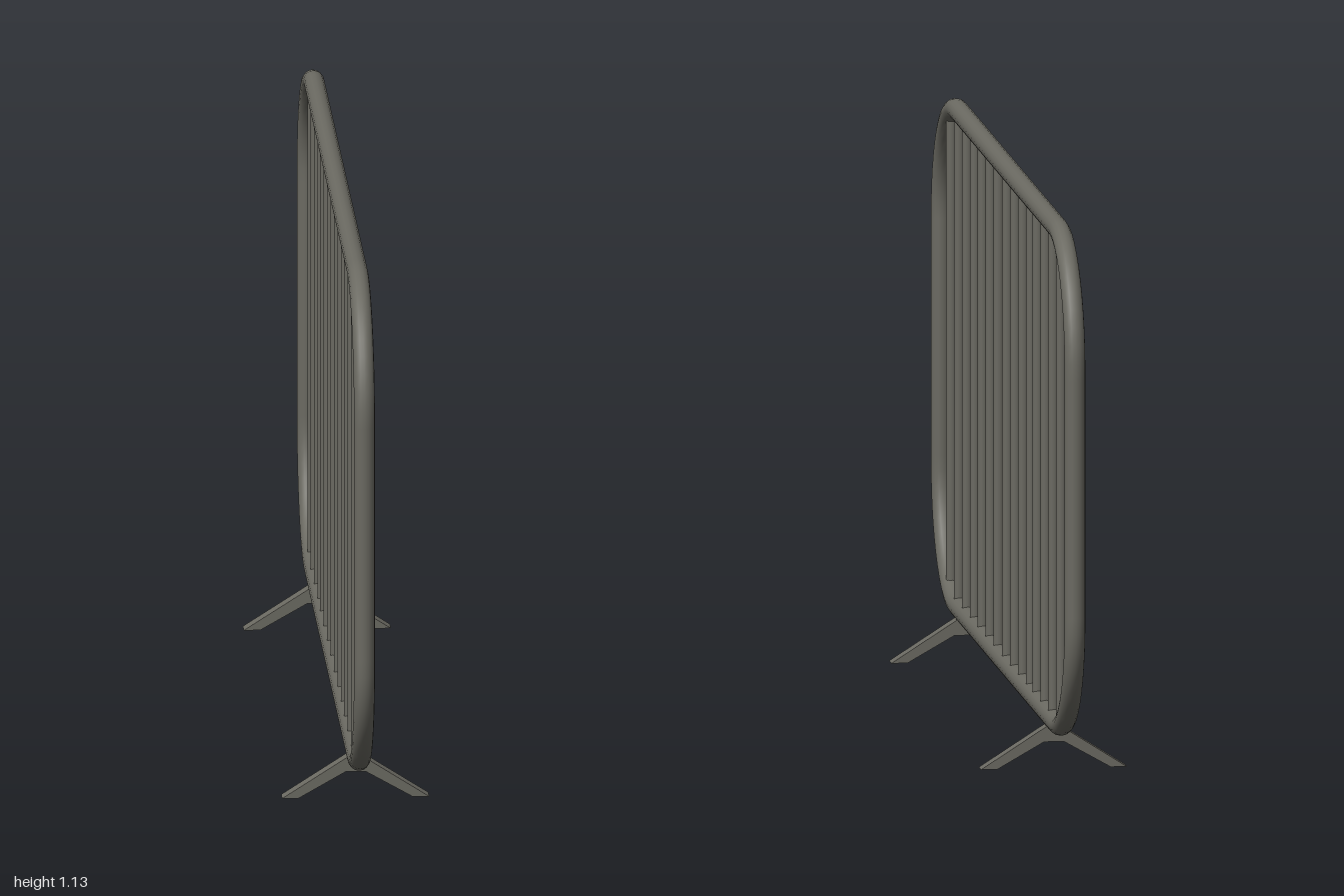
import * as THREE from 'three';

const TOP = 1.11, BOTTOM = 0.1, END = 0.978, CORNER = 0.25;

// Closed rounded-rectangle centreline in the zy plane
function framePath() {
  const path = new THREE.CurvePath();
  const p = (z, y) => new THREE.Vector3(0, y, z);
  const k = CORNER * 0.5523;
  // Corner points in order, with the directions entering and leaving each one
  const corners = [
    [END, TOP, 1, 0, 0, -1],
    [END, BOTTOM, 0, -1, -1, 0],
    [-END, BOTTOM, -1, 0, 0, 1],
    [-END, TOP, 0, 1, 1, 0],
  ];
  let last = p(-END + CORNER, TOP);
  for (const [z, y, iz, iy, oz, oy] of corners) {
    const at = (dz, dy, d) => p(z + dz * d, y + dy * d);
    const start = at(iz, iy, -CORNER), end = at(oz, oy, CORNER);
    path.add(new THREE.LineCurve3(last, start));
    path.add(new THREE.CubicBezierCurve3(start, at(iz, iy, k - CORNER), at(oz, oy, CORNER - k), end));
    last = end;
  }
  return path;
}

export function createModel() {
  const group = new THREE.Group();
  group.name = 'crowdBarrier';
  const steel = new THREE.MeshStandardMaterial({ color: 0x6b6a62 });
  steel.name = 'dull grey steel';

  const add = (name, geometry, x = 0, y = 0, z = 0) => {
    const mesh = new THREE.Mesh(geometry, steel);
    mesh.name = name;
    mesh.position.set(x, y, z);
    group.add(mesh);
  };

  // Outer tube frame
  add('frame', new THREE.TubeGeometry(framePath(), 160, 0.021, 16, true));

  // Upright bars, slightly unevenly spaced, the end ones shortened by the corners
  const bars = [0.825, 0.711, 0.596, 0.479, 0.364, 0.249, 0.134, 0.005,
    -0.112, -0.225, -0.343, -0.439, -0.554, -0.667, -0.782];
  bars.forEach((z, i) => {
    const over = Math.max(0, Math.abs(z) - (END - CORNER));
    const drop = CORNER - Math.sqrt(CORNER * CORNER - over * over);
    const height = TOP - BOTTOM - 2 * drop;
    add(`bar${i + 1}`, new THREE.CylinderGeometry(0.0115, 0.0115, height, 12, 1, true),
      0, (TOP + BOTTOM) / 2, z);
  });

  // Splayed flat feet below the bottom rail
  const foot = new THREE.Shape([
    [-0.148, 0], [-0.115, 0], [-0.02, 0.054], [0.02, 0.054], [0.115, 0], [0.148, 0],
    [0.015, 0.085], [-0.015, 0.085],
  ].map(([x, y]) => new THREE.Vector2(x, y)));
  const footGeometry = new THREE.ExtrudeGeometry(foot, { depth: 0.033, bevelEnabled: false });
  footGeometry.translate(0, 0, -0.0165);
  add('frontFoot', footGeometry, 0, 0, 0.659);
  add('backFoot', footGeometry, 0, 0, -0.654);

  return group;
}
